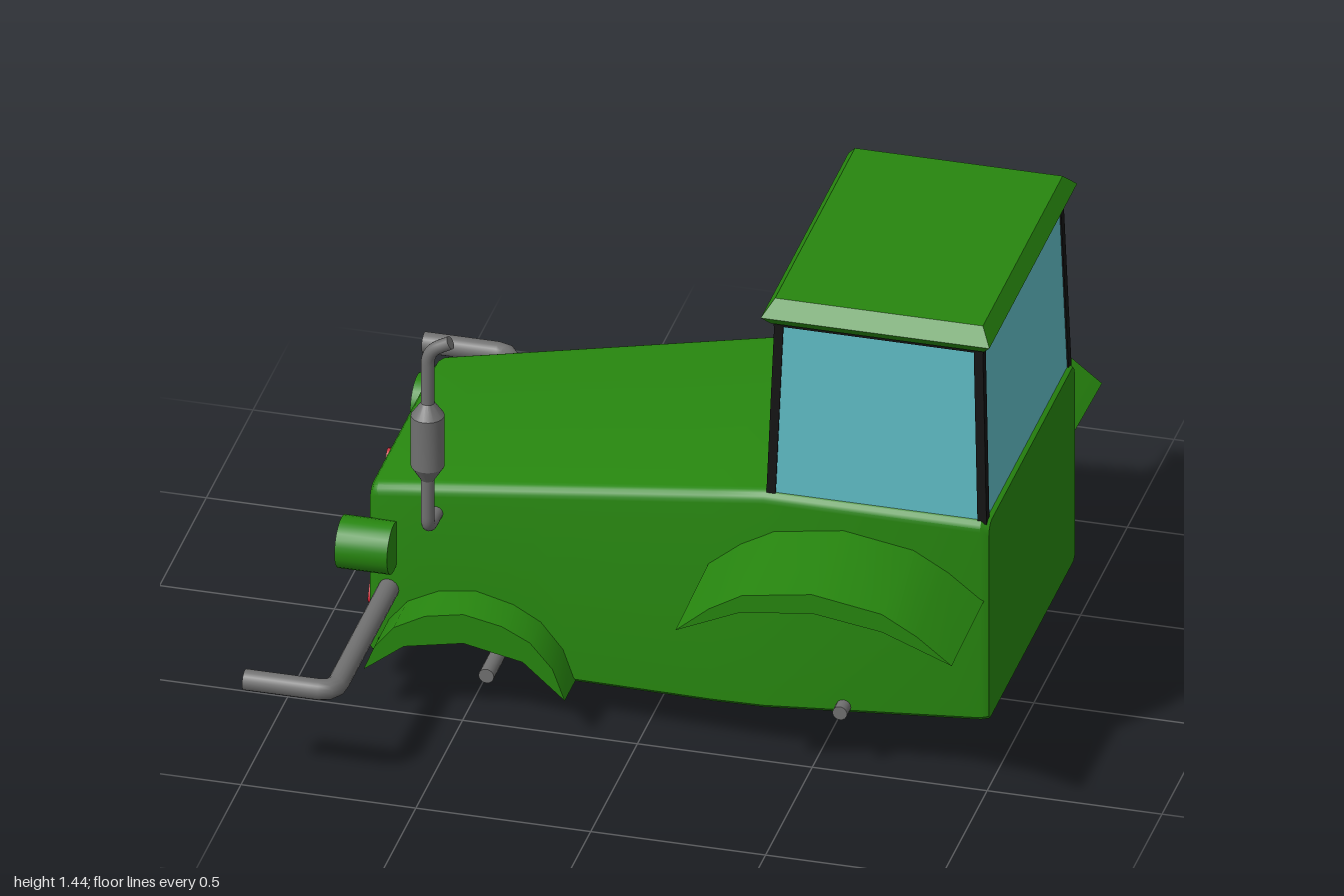
import * as THREE from 'three';
import { toCreasedNormals } from 'three/addons/utils/BufferGeometryUtils.js';

const mat = (color) => new THREE.MeshStandardMaterial({ color });
const V = (x, y, z) => new THREE.Vector3(x, y, z);
const lerp = THREE.MathUtils.lerp;

export function createModel() {
  const model = new THREE.Group();
  const green = mat(0x27860f), metal = mat(0x707070), glass = mat(0x5fbcc4);
  const black = mat(0x141414), red = mat(0xc81f30), silver = mat(0xa0a0a0);

  const add = (name, geo, material, parent = model) => {
    const mesh = new THREE.Mesh(geo, material);
    mesh.name = name;
    parent.add(mesh);
    return mesh;
  };
  // round rod between two points
  const rod = (name, a, b, r, material = metal) => {
    const m = add(name, new THREE.CylinderGeometry(r, r, a.distanceTo(b), 16), material);
    m.position.copy(a).add(b).multiplyScalar(0.5);
    m.quaternion.setFromUnitVectors(V(0, 1, 0), b.clone().sub(a).normalize());
    return m;
  };
  // bent pipe with rounded corners and closed ends
  const pipe = (name, pts, r, bend) => {
    const path = new THREE.CurvePath();
    let from = pts[0];
    for (let i = 1; i < pts.length - 1; i++) {
      const p = pts[i];
      const a = p.clone().add(pts[i - 1].clone().sub(p).setLength(bend));
      const b = p.clone().add(pts[i + 1].clone().sub(p).setLength(bend));
      path.add(new THREE.LineCurve3(from, a));
      path.add(new THREE.QuadraticBezierCurve3(a, p, b));
      from = b;
    }
    const end = pts[pts.length - 1];
    path.add(new THREE.LineCurve3(from, end));
    const g = new THREE.Group();
    g.name = name;
    model.add(g);
    add(name + 'Tube', new THREE.TubeGeometry(path, 90, r, 16), metal, g);
    [[pts[0], pts[1]], [end, pts[pts.length - 2]]].forEach(([p, q]) => {
      const cap = add(name + 'End', new THREE.CircleGeometry(r, 16), metal, g);
      cap.position.copy(p);
      cap.quaternion.setFromUnitVectors(V(0, 0, 1), p.clone().sub(q).normalize());
    });
  };
  // box with different bottom and top rectangles
  const frustum = (cx, cz, y0, y1, bottom, top) => {
    const g = new THREE.BoxGeometry(1, 1, 1).toNonIndexed();
    const p = g.attributes.position;
    for (let i = 0; i < p.count; i++) {
      const up = p.getY(i) > 0, s = up ? top : bottom;
      p.setXYZ(i, cx + Math.sign(p.getX(i)) * s[0], up ? y1 : y0, cz + Math.sign(p.getZ(i)) * s[1]);
    }
    g.computeVertexNormals();
    return g;
  };

  // body: cross-sections along x as [x, bottom], widening to the rear
  const CZ = -0.005;
  const stations = [[-0.805, 0.1, 0.02], [-0.795, 0.1, 0.006], [-0.78, 0.1, 0], [-0.775, 0.14, 0],
    [-0.66, 0.23, 0], [-0.58, 0.255, 0], [-0.49, 0.265, 0], [-0.4, 0.255, 0], [-0.32, 0.23, 0],
    [-0.2, 0.12, 0], [0.2, 0.135, 0], [0.35, 0.145, 0], [0.97, 0.198, 0], [0.993, 0.2, 0.01]];
  const pos = [], idx = [];
  let n = 0;
  stations.forEach(([x, bottom, inset]) => {
    const t = Math.min(1, (x + 0.8) / 1.15);
    const w = lerp(0.375, 0.47, t) - inset, top = lerp(0.635, 0.835, t) - inset, r = 0.035;
    const ring = [[w - 0.012, bottom], [w, bottom + 0.012]];
    for (let k = 0; k <= 5; k++) {
      const a = (k / 5) * Math.PI / 2;
      ring.push([w - r + r * Math.cos(a), top - r + r * Math.sin(a)]);
    }
    const all = ring.concat(ring.slice().reverse().map(([z, y]) => [-z, y]));
    n = all.length;
    all.forEach(([z, y]) => pos.push(x, y, z + CZ));
  });
  for (let i = 0; i < stations.length - 1; i++) {
    for (let j = 0; j < n; j++) {
      const a = i * n + j, b = i * n + (j + 1) % n;
      idx.push(a, a + n, b, b, a + n, b + n);
    }
  }
  const last = (stations.length - 1) * n;
  for (let j = 1; j < n - 1; j++) idx.push(0, j, j + 1, last, last + j + 1, last + j);
  const bodyGeo = new THREE.BufferGeometry();
  bodyGeo.setAttribute('position', new THREE.Float32BufferAttribute(pos, 3));
  bodyGeo.setIndex(idx);
  add('body', toCreasedNormals(bodyGeo, 0.5), green);

  // fenders: crescent profiles extruded sideways, drooping slightly outward
  const fender = (name, outline, z0, z1, droop) => {
    const shape = new THREE.Shape(outline.map(([x, y]) => new THREE.Vector2(x, y)));
    for (const s of [1, -1]) {
      const g = new THREE.ExtrudeGeometry(shape, { depth: z1 - z0, bevelEnabled: false });
      g.translate(0, 0, s > 0 ? z0 : -z1);
      const p = g.attributes.position;
      for (let i = 0; i < p.count; i++) p.setY(i, p.getY(i) - droop * (Math.abs(p.getZ(i)) - z0));
      add(name + (s > 0 ? 'Left' : 'Right'), toCreasedNormals(g, 0.5), green);
    }
  };
  fender('rearFender', [[0.19, 0.578], [0.37, 0.66], [0.58, 0.69], [0.78, 0.66], [0.98, 0.582],
    [0.88, 0.66], [0.78, 0.717], [0.58, 0.75], [0.38, 0.717], [0.285, 0.66]], 0.44, 0.805, 0.04);
  fender('frontFender', [[-0.775, 0.14], [-0.66, 0.23], [-0.49, 0.265], [-0.32, 0.23], [-0.2, 0.125],
    [-0.235, 0.22], [-0.3, 0.295], [-0.38, 0.335], [-0.49, 0.357], [-0.6, 0.335], [-0.69, 0.285],
    [-0.745, 0.215]], 0.34, 0.53, 0);

  // cab: glass block, corner pillars, top frame and roof
  const cx = 0.67, y0 = 0.82, y1 = 1.365, lo = [0.315, 0.455], hi = [0.298, 0.432];
  add('cabGlass', frustum(cx, CZ, y0, y1, lo.map((v) => v - 0.004), hi.map((v) => v - 0.004)), glass);
  const t = 0.013;
  for (const sx of [1, -1]) {
    for (const sz of [1, -1]) {
      const g = frustum(0, 0, y0, y1, [t, t * 1.2], [t, t * 1.2]);
      const p = g.attributes.position;
      for (let i = 0; i < p.count; i++) {
        const s = p.getY(i) > 1 ? hi : lo;
        p.setX(i, p.getX(i) + cx + sx * (s[0] - t));
        p.setZ(i, p.getZ(i) + CZ + sz * (s[1] - t * 1.2));
      }
      g.computeVertexNormals();
      add('cabPillar', g, black);
    }
  }
  add('cabTopFrame', frustum(cx, CZ, 1.352, 1.372, [0.3, 0.434], [0.3, 0.434]), black);
  add('roofEave', frustum(cx, CZ, 1.365, 1.393, [0.305, 0.445], [0.327, 0.47]), green);
  add('roofTop', frustum(cx, CZ, 1.393, 1.437, [0.327, 0.47], [0.297, 0.427]), green);

  // exhaust: bent pipe with a muffler
  pipe('exhaustPipe', [V(-0.605, 0.585, 0.37), V(-0.605, 0.585, 0.48), V(-0.605, 1.155, 0.48), V(-0.54, 1.19, 0.48)], 0.019, 0.04);
  const muffler = [[0.019, 0.745], [0.047, 0.79], [0.047, 0.95], [0.019, 0.99]].map(([r, y]) => new THREE.Vector2(r, y));
  add('muffler', toCreasedNormals(new THREE.LatheGeometry(muffler, 20), 0.5), metal).position.set(-0.605, 0, 0.48);

  // headlights with rims and recessed lenses
  for (const s of [1, -1]) {
    const rim = [[0, 0], [0.075, 0], [0.075, 0.15], [0.064, 0.15], [0.06, 0.14]].map(([r, y]) => new THREE.Vector2(r, y));
    const lamp = new THREE.Group();
    lamp.name = s > 0 ? 'headlightLeft' : 'headlightRight';
    add('headlightHousing', toCreasedNormals(new THREE.LatheGeometry(rim, 24), 0.5), green, lamp);
    const lens = add('headlightLens', new THREE.CircleGeometry(0.061, 24), glass, lamp);
    lens.rotation.x = -Math.PI / 2;
    lens.position.y = 0.141;
    lamp.rotation.z = Math.PI / 2;
    lamp.position.set(-0.722, 0.465, s * 0.405);
    model.add(lamp);
  }

  // warning triangle on the nose
  const triangle = (half, yBottom, yTop, r) => {
    const c = [[-half, yBottom], [half, yBottom], [0, yTop]].map(([x, y]) => new THREE.Vector2(x, y));
    const s = new THREE.Shape();
    c.forEach((p, i) => {
      const a = p.clone().add(c[(i + 2) % 3].clone().sub(p).setLength(r));
      const b = p.clone().add(c[(i + 1) % 3].clone().sub(p).setLength(r));
      if (i) s.lineTo(a.x, a.y); else s.moveTo(a.x, a.y);
      s.quadraticCurveTo(p.x, p.y, b.x, b.y);
    });
    s.closePath();
    return s;
  };
  const border = triangle(0.23, 0.155, 0.56, 0.05);
  border.holes.push(triangle(0.15, 0.2, 0.465, 0.008));
  const plate = (name, shape, depth, x, material) => {
    const g = new THREE.ExtrudeGeometry(shape, { depth, bevelEnabled: false, curveSegments: 6 });
    const m = add(name, toCreasedNormals(g, 0.5), material);
    m.rotation.y = -Math.PI / 2;
    m.position.x = x;
  };
  plate('triangleBorder', border, 0.05, -0.798, red);
  plate('trianglePanel', triangle(0.16, 0.195, 0.48, 0.008), 0.03, -0.798, silver);

  // front bar with forward-bent ends
  pipe('frontBar', [V(-1, 0.315, -0.96), V(-0.745, 0.315, -0.96), V(-0.745, 0.315, 0.96), V(-1, 0.315, 0.96)], 0.03, 0.05);

  // rear axle, drawbar and cross rod underneath
  rod('rearAxle', V(0.58, 0.188, -0.505), V(0.58, 0.188, 0.505), 0.021);
  rod('drawbar', V(0.58, 0.188, 0), V(-0.49, 0.025, 0), 0.011);
  rod('crossRod', V(-0.49, 0.023, -0.285), V(-0.49, 0.023, 0.285), 0.022);

  return model;
}
